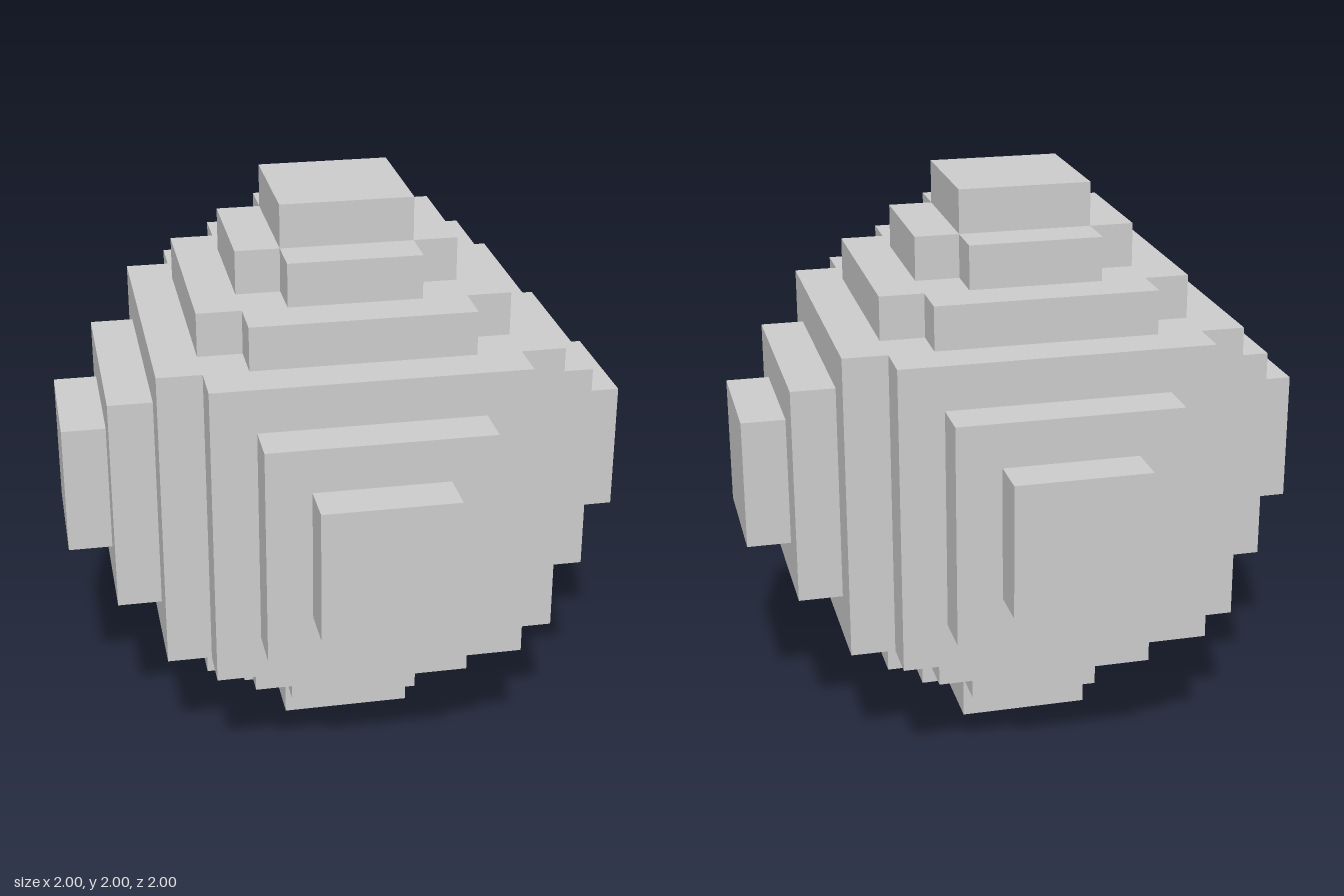
import * as THREE from 'three';

const U = 2 / 13; // one voxel step; the ball is 13 steps across
const material = new THREE.MeshStandardMaterial({ color: 0xcccccc, flatShading: true });

function add(parent, name, geometry) {
  const mesh = new THREE.Mesh(geometry, material);
  mesh.name = name;
  parent.add(mesh);
  return mesh;
}

// Square slab with notched corners: half-width a, arm half-width b, height h, centred on y
function notchedSlab(a, b, h) {
  const corners = [];
  for (let q = 0; q < 4; q++) {
    const c = [1, 0, -1, 0][q], s = [0, 1, 0, -1][q];
    for (const [x, y] of [[a, -b], [a, b], [b, b]]) {
      corners.push(new THREE.Vector2((x * c - y * s) * U, (x * s + y * c) * U));
    }
  }
  const geometry = new THREE.ExtrudeGeometry(new THREE.Shape(corners), { depth: h * U, bevelEnabled: false });
  return geometry.translate(0, 0, -h * U / 2).rotateX(-Math.PI / 2);
}

export function createModel() {
  const model = new THREE.Group();
  model.name = 'voxelBall';
  const ball = new THREE.Group();
  ball.name = 'ball';
  ball.position.y = 1;
  model.add(ball);

  // Main block
  add(ball, 'core', notchedSlab(4.5, 3.5, 7));

  // Stepped caps above and below
  for (const [side, s] of [['top', 1], ['bottom', -1]]) {
    add(ball, side + 'WideStep', notchedSlab(3.5, 2.5, 1)).position.y = s * 4 * U;
    add(ball, side + 'NarrowStep', notchedSlab(2.5, 1.5, 1)).position.y = s * 5 * U;
    add(ball, side + 'Cap', new THREE.BoxGeometry(3 * U, U, 3 * U)).position.y = s * 6 * U;
  }

  // Two stacked square plates on each of the four sides
  ['front', 'left', 'back', 'right'].forEach((side, i) => {
    const plates = new THREE.Group();
    plates.name = side + 'Plates';
    plates.rotation.y = i * Math.PI / 2;
    add(plates, 'largePlate', new THREE.BoxGeometry(5 * U, 5 * U, U)).position.z = 5 * U;
    add(plates, 'smallPlate', new THREE.BoxGeometry(3 * U, 3 * U, U)).position.z = 6 * U;
    ball.add(plates);
  });

  return model;
}
